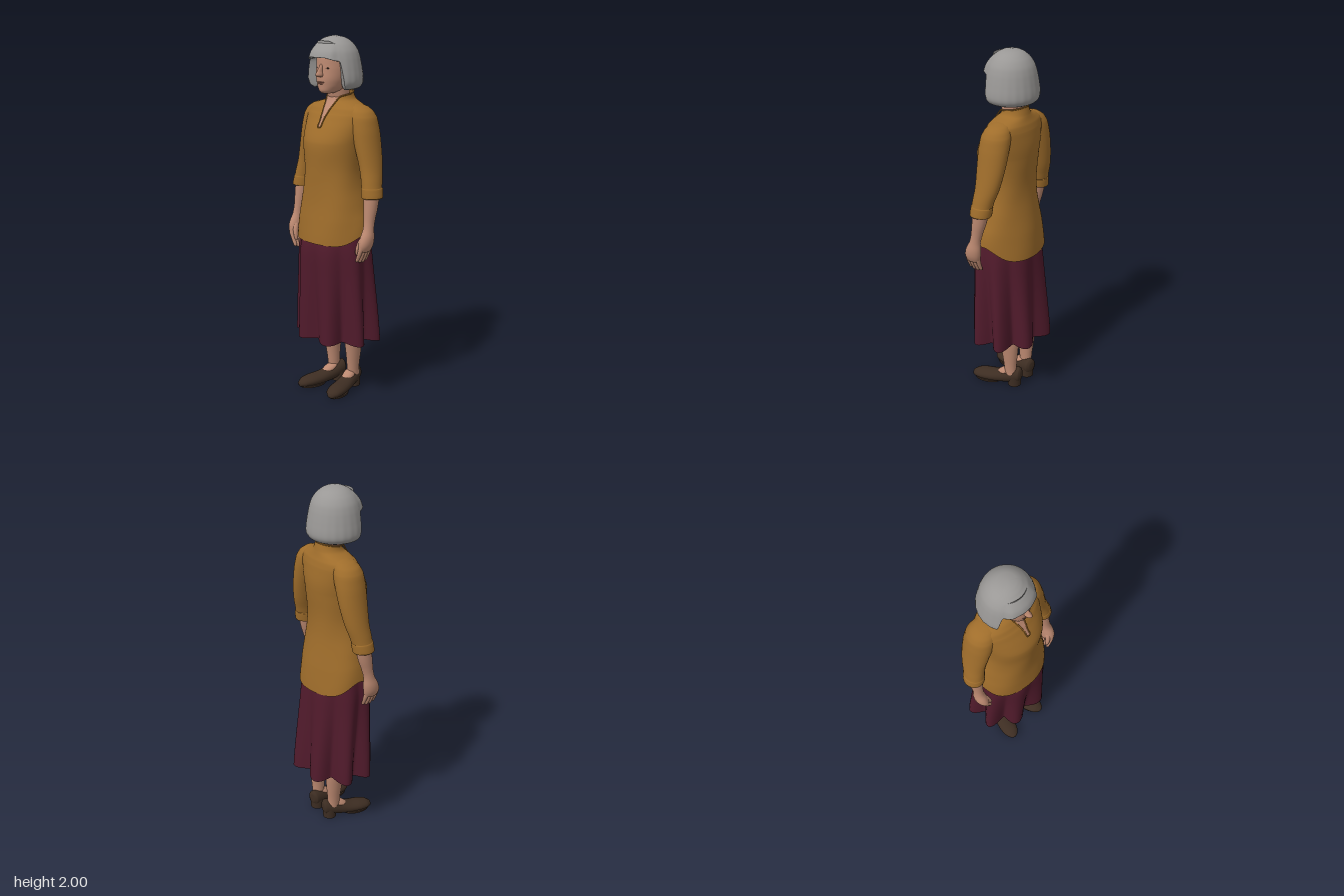
import * as THREE from 'three';
import { mergeVertices } from 'three/addons/utils/BufferGeometryUtils.js';

const mat = (name, color, side = THREE.FrontSide) => {
  const m = new THREE.MeshStandardMaterial({ color, side });
  m.name = name;
  return m;
};
const { cos, sin, abs, sign, PI, pow } = Math;
const smooth = THREE.MathUtils.smoothstep;

// Smooth grid surface from a point function
function surface(fn, nu, nv) {
  const pos = [], idx = [];
  for (let j = 0; j <= nv; j++) for (let i = 0; i <= nu; i++) pos.push(...fn(i / nu, j / nv));
  for (let j = 0; j < nv; j++) for (let i = 0; i < nu; i++) {
    const a = j * (nu + 1) + i, b = a + 1, c = a + nu + 1, d = c + 1;
    idx.push(a, c, b, b, c, d);
  }
  let g = new THREE.BufferGeometry();
  g.setAttribute('position', new THREE.Float32BufferAttribute(pos, 3));
  g.setIndex(idx);
  g = mergeVertices(g, 1e-5);
  g.computeVertexNormals();
  return g;
}

// Cubic blend of table rows between row i and i + 1
function blend(rows, i, k) {
  const r = j => rows[Math.max(0, Math.min(rows.length - 1, j))];
  return r(i).map((b, n) => {
    if (n === 0) return b + (r(i + 1)[0] - b) * k;
    const a = r(i - 1)[n], c = r(i + 1)[n], d = r(i + 2)[n];
    return b + 0.5 * k * (c - a + k * (2 * a - 5 * b + 4 * c - d + k * (3 * (b - c) + d - a)));
  });
}
function atHeight(rows, y) {
  let i = 0;
  while (i < rows.length - 2 && y > rows[i + 1][0]) i++;
  return blend(rows, i, (y - rows[i][0]) / (rows[i + 1][0] - rows[i][0]));
}

// Loft through rows of [y, centre x, centre z, radius x, radius z]
function loft(rows, seg = 20, { p = 2, steps = 4, warp = null } = {}) {
  const n = rows.length - 1;
  return surface((u, v) => {
    const t = v * n, i = Math.min(n - 1, Math.floor(t + 1e-9));
    const [y, cx, cz, rx, rz] = blend(rows, i, t - i);
    const a = (u === 1 ? 0 : u) * 2 * PI, c = cos(a), s = sin(a);
    const f = warp ? warp(a, y) : { r: 1, y: 0 };
    return [cx + f.r * rx * sign(c) * pow(abs(c), 2 / p), y + f.y, cz + f.r * rz * sign(s) * pow(abs(s), 2 / p)];
  }, seg, n * steps);
}
// Row given by front and back depth
const fb = (y, cx, rx, zf, zb) => [y, cx, (zf + zb) / 2, rx, (zf - zb) / 2];

export function createModel() {
  const model = new THREE.Group();
  const skin = mat('skin', 0xbb8870);
  const hairMat = mat('grey hair', 0x9a9896, THREE.DoubleSide);
  const blouse = mat('ochre cloth', 0x9f6d2b, THREE.DoubleSide);
  const maroon = mat('maroon cloth', 0x501a2b, THREE.DoubleSide);
  const liningMat = mat('dark lining', 0x2e2a16, THREE.DoubleSide);
  const leather = mat('brown leather', 0x3d2d22);
  const lipMat = mat('lips', 0x9e6856), eyeMat = mat('eyes', 0x4a342a);
  const add = (name, geo, m, parent = model) => {
    const mesh = new THREE.Mesh(geo, m);
    mesh.name = name;
    parent.add(mesh);
    return mesh;
  };
  const ball = (name, m, [x, y, z], [a, b, c], parent = model) => {
    const mesh = add(name, new THREE.SphereGeometry(1, 16, 12), m, parent);
    mesh.position.set(x, y, z);
    mesh.scale.set(a, b, c);
    return mesh;
  };

  // Blouse body with a hem that rises at the sides and a collar dipping to the front
  const torso = [
    fb(0.87, 0, 0.228, 0.2, -0.16), fb(1.0, 0, 0.217, 0.192, -0.147), fb(1.1, 0, 0.2, 0.184, -0.132),
    fb(1.2, 0, 0.178, 0.181, -0.122), fb(1.3, 0, 0.168, 0.182, -0.122), fb(1.43, 0, 0.178, 0.185, -0.133),
    fb(1.5, 0, 0.19, 0.157, -0.135), fb(1.58, 0, 0.2, 0.112, -0.126), fb(1.615, 0, 0.188, 0.088, -0.117),
    fb(1.637, 0, 0.145, 0.07, -0.108), fb(1.657, 0, 0.088, 0.057, -0.1), fb(1.69, 0, 0.072, 0.045, -0.09)];
  const P = 2.05;
  add('blouseBody', loft(torso, 64, {
    p: P, steps: 5,
    warp: (a, y) => ({
      r: 1 + 0.012 * sin(5 * a + 9 * y) * (1 - smooth(y, 1.2, 1.45)),
      y: (1 - smooth(y, 0.87, 1.1)) * (0.07 * pow(abs(cos(a)), 7) + 0.015 * sin(a)) - 0.014 * sin(a) * smooth(y, 1.63, 1.69),
    }),
  }), blouse);

  // Open neckline: skin panel lying on the chest, with a rolled edge
  const chest = (x, y, lift) => {
    const [, cx, cz, rx, rz] = atHeight(torso, y);
    return [x, y, cz + rz * pow(Math.max(0, 1 - pow(abs((x - cx) / rx), P)), 1 / P) + lift];
  };
  const slit = v => 0.009 + 0.036 * pow(v, 1.7);
  const slitPoint = (w, v) => chest(0.005 + w * slit(v), 1.52 + 0.155 * v, 0.004);
  add('neckOpening', surface((u, v) => slitPoint(1 - 2 * u, v), 8, 20), skin);
  const edge = [];
  for (let i = 0; i <= 6; i++) edge.push(slitPoint(1, i / 6));
  for (let i = 1; i < 12; i++) {
    const a = PI * (0.3 - i / 12 * 1.6);
    edge.push([0.073 * cos(a), 1.69 - 0.014 * sin(a), -0.0225 + 0.068 * sin(a)]);
  }
  for (let i = 6; i >= 0; i--) edge.push(slitPoint(-1, i / 6));
  const edgeCurve = new THREE.CatmullRomCurve3(edge.map(e => new THREE.Vector3(...e)), true);
  add('collarEdge', new THREE.TubeGeometry(edgeCurve, 90, 0.004, 6, true), blouse);

  // Skirt with round folds between wider valleys, and its lining
  const skirt = [
    fb(0.32, 0, 0.232, 0.186, -0.186), fb(0.5, 0, 0.23, 0.19, -0.176), fb(0.7, 0, 0.226, 0.195, -0.162),
    fb(0.85, 0, 0.22, 0.196, -0.15), fb(0.98, 0, 0.205, 0.17, -0.13)];
  const folds = (a, y) => {
    const b = a + 0.03 * sin(2 * a + 1);
    const wave = 2 * pow(abs(sin(4 * b)), 1.5) - 1;
    return { r: 1 + wave * (0.17 - 0.14 * smooth(y, 0.2, 1.0)), y: -0.005 * wave };
  };
  add('skirt', loft(skirt, 128, { warp: folds, steps: 5 }), maroon);
  const inner = skirt.map(([y, x, z, a, b]) => [y, x, z, a - 0.006, b - 0.006]).reverse();
  add('skirtLining', loft(inner, 128, { warp: folds, steps: 5 }), liningMat);

  for (const s of [1, -1]) {
    const side = s > 0 ? 'left' : 'right';
    const limb = rows => rows.map(([y, x, ...r]) => [y, s * x, ...r]);

    // Sleeve with a turned cuff, its rounded top sunk into the shoulder
    const arm = new THREE.Group();
    arm.name = side + 'Arm';
    model.add(arm);
    add('sleeve', loft(limb([
      [1.15, 0.266, 0.01, 0.053, 0.058], [1.155, 0.266, 0.01, 0.057, 0.061], [1.2, 0.26, 0.006, 0.055, 0.062],
      [1.206, 0.258, 0.005, 0.052, 0.06], [1.3, 0.237, -0.012, 0.055, 0.07], [1.4, 0.213, -0.018, 0.061, 0.081],
      [1.5, 0.188, -0.019, 0.07, 0.086], [1.57, 0.167, -0.019, 0.075, 0.082], [1.605, 0.15, -0.019, 0.07, 0.07],
      [1.628, 0.132, -0.02, 0.053, 0.053], [1.64, 0.115, -0.02, 0.03, 0.028], [1.643, 0.105, -0.02, 0, 0]]), 32), blouse, arm);

    // Forearm, palm and fingers
    add('forearmAndPalm', loft(limb([
      [0.858, 0.266, 0.066, 0, 0], [0.865, 0.266, 0.066, 0.022, 0.038], [0.9, 0.272, 0.064, 0.032, 0.048],
      [0.94, 0.275, 0.057, 0.033, 0.045], [0.985, 0.274, 0.046, 0.028, 0.033], [1.03, 0.271, 0.036, 0.029, 0.033],
      [1.1, 0.267, 0.022, 0.037, 0.041], [1.17, 0.262, 0.012, 0.042, 0.045], [1.24, 0.25, 0, 0.04, 0.045]]), 20), skin, arm);
    for (let i = 0; i < 4; i++) {
      const z = 0.034 + i * 0.022, low = 0.793 + abs(i - 1.4) * 0.007;
      add('finger', loft(limb([
        [low, 0.24, z, 0, 0], [low + 0.005, 0.241, z, 0.009, 0.009], [low + 0.04, 0.256, z, 0.012, 0.012],
        [0.885, 0.27, z, 0.015, 0.013], [0.92, 0.272, z, 0.01, 0.01]]), 8, { steps: 3 }), skin, arm);
    }
    add('thumb', loft(limb([
      [0.842, 0.236, 0.096, 0, 0], [0.847, 0.237, 0.096, 0.009, 0.009], [0.885, 0.244, 0.095, 0.013, 0.013],
      [0.93, 0.258, 0.08, 0.017, 0.016], [0.965, 0.268, 0.06, 0.01, 0.01]]), 10, { steps: 3 }), skin, arm);

    // Leg under the skirt
    add(side + 'Leg', loft(limb([
      [0.05, 0.076, -0.05, 0.03, 0.036], [0.12, 0.077, -0.046, 0.032, 0.038], [0.2, 0.08, -0.045, 0.038, 0.047],
      [0.3, 0.082, -0.042, 0.047, 0.058], [0.4, 0.083, -0.035, 0.05, 0.056], [0.55, 0.085, -0.01, 0.06, 0.065],
      [0.85, 0.095, 0.01, 0.08, 0.09]]), 20), skin);

    // Low-heeled shoe, lofted from heel to toe
    const foot = new THREE.Group();
    foot.name = side + 'Foot';
    foot.position.x = s * 0.078;
    foot.rotation.y = s * 0.24;
    model.add(foot);
    add('shoe', loft([
      [-0.112, 0, -0.075, 0, 0], [-0.11, 0, -0.075, 0.02, 0.028], [-0.098, 0, -0.072, 0.036, 0.046],
      [-0.05, 0, -0.061, 0.043, 0.046], [0, 0, -0.047, 0.045, 0.041], [0.06, 0, -0.037, 0.05, 0.035],
      [0.12, 0, -0.033, 0.051, 0.032], [0.165, 0, -0.029, 0.041, 0.026], [0.192, 0, -0.023, 0.02, 0.015],
      [0.199, 0, -0.021, 0, 0]], 24).rotateX(PI / 2), leather, foot);
    const heel = add('heel', new THREE.CylinderGeometry(0.041, 0.038, 0.06, 20), leather, foot);
    heel.position.set(0, 0.03, -0.066);
    const sole = add('sole', new THREE.CylinderGeometry(0.048, 0.046, 0.012, 24), leather, foot);
    sole.position.set(0, 0.006, 0.102);
    sole.scale.z = 1.7;
    const instep = ball('instep', skin, [0, 0.077, -0.01], [0.034, 0.027, 0.06], foot);
    instep.rotation.x = 0.45;
  }

  // Neck and head
  add('neck', loft([[1.58, 0, -0.02, 0.085, 0.075], [1.64, 0, -0.016, 0.064, 0.064], [1.69, 0, -0.005, 0.058, 0.064],
    [1.78, 0, 0, 0.06, 0.07]], 24), skin);
  const head = new THREE.Group();
  head.name = 'head';
  model.add(head);
  add('face', loft([
    fb(1.694, 0, 0, 0.09, 0.09), fb(1.697, 0, 0.03, 0.112, 0.04), fb(1.71, 0, 0.05, 0.126, -0.01),
    fb(1.735, 0, 0.069, 0.13, -0.05), fb(1.77, 0, 0.083, 0.134, -0.08), fb(1.81, 0, 0.091, 0.131, -0.1),
    fb(1.845, 0, 0.094, 0.128, -0.11), fb(1.9, 0, 0.09, 0.122, -0.11), fb(1.95, 0, 0.07, 0.09, -0.08)], 32, { p: 2.1 }), skin, head);
  add('nose', loft([
    [1.783, 0, 0.133, 0, 0], [1.786, 0, 0.135, 0.014, 0.018], [1.797, 0, 0.136, 0.017, 0.031],
    [1.815, 0, 0.13, 0.012, 0.026], [1.845, 0, 0.118, 0.01, 0.018], [1.86, 0, 0.113, 0.006, 0.008]], 14), skin, head);
  ball('upperLip', lipMat, [0, 1.757, 0.127], [0.025, 0.004, 0.01], head);
  ball('lowerLip', lipMat, [0, 1.75, 0.126], [0.021, 0.005, 0.01], head);
  for (const s of [1, -1]) ball('eye', eyeMat, [s * 0.037, 1.832, 0.116], [0.013, 0.004, 0.006], head).rotation.y = s * 0.4;

  // Bob haircut: inner layer runs down, turns at the tips, outer layer runs up to the crown
  const bob = [[1.715, 0.118], [1.725, 0.137], [1.745, 0.151], [1.77, 0.154], [1.82, 0.148], [1.88, 0.137],
    [1.92, 0.124], [1.955, 0.101], [1.98, 0.071], [1.993, 0.042], [2.0, 0]];
  add('hair', surface((u, v) => {
    const a = (u === 1 ? 0 : u) * 2 * PI + PI / 2;
    const fromFront = abs(u < 0.5 ? u : 1 - u) * 2 * PI;
    const hem = 1.887 - 0.017 * smooth(fromFront, 0.3, 0.9) - 0.153 * smooth(fromFront, 0.92, 1.18);
    const outer = v >= 0.3;
    const t = outer ? (v - 0.3) / 0.7 : 1 - v / 0.3;
    const y = outer ? 2 - (2 - hem) * (1 - pow(t, 1.3)) : hem + 0.006 + t * 0.08;
    const strand = 1 + 0.004 * sin(22 * a) * (1 - smooth(y, 1.75, 1.98));
    const fringe = 1 + 0.08 * (1 - smooth(fromFront, 0.55, 0.9)) * (1 - smooth(y, 1.9, 1.99));
    const r = outer ? atHeight(bob, y)[1] * strand * fringe : 0.098;
    return [-0.01 + r * cos(a), y, 0.01 + r * sin(a) * 0.98];
  }, 128, 50), hairMat, head);

  return model;
}
